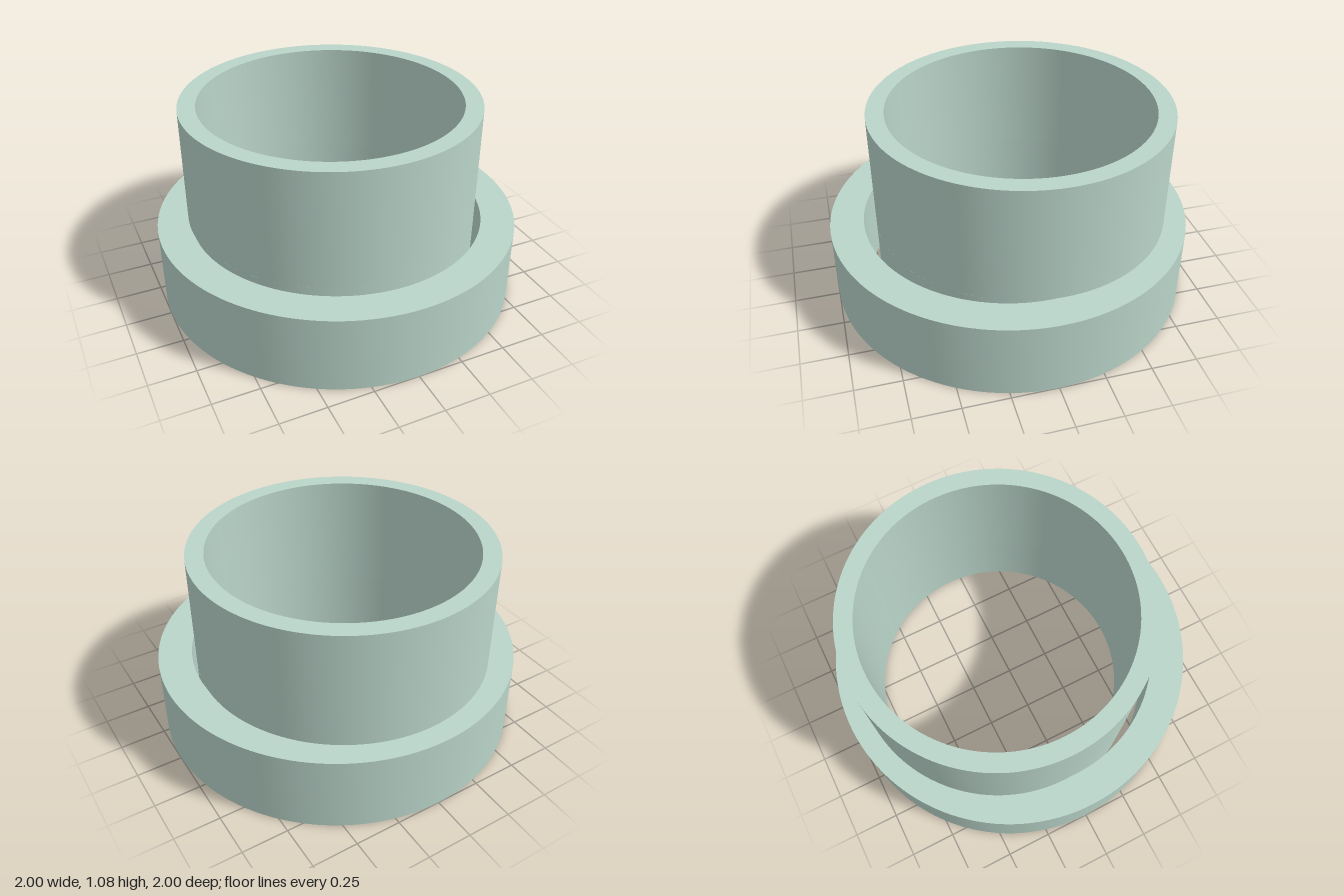
import * as THREE from 'three';
import { toCreasedNormals } from 'three/addons/utils/BufferGeometryUtils.js';

const R = 0.815;       // sleeve outer radius and collar opening radius
const BORE = 0.718;    // sleeve inner radius
const OFFSET = 0.07;   // sleeve is shifted this far to the back
const COLLAR_H = 0.43;
const TOTAL_H = 1.08;

export function createModel() {
  const group = new THREE.Group();
  const material = new THREE.MeshStandardMaterial({ color: 0xbad5ca });

  const add = (name, geometry) => {
    const mesh = new THREE.Mesh(toCreasedNormals(geometry, 0.5), material);
    mesh.name = name;
    group.add(mesh);
    return mesh;
  };

  // Collar: thick disc with the sleeve bore and a crescent gap cut through
  const disc = new THREE.Shape().absarc(0, 0, 1, 0, Math.PI * 2, false);
  const bore = new THREE.Path().absarc(0, OFFSET, BORE, 0, Math.PI * 2, true);
  const a = Math.asin(OFFSET / 2 / R);
  const crescent = new THREE.Path();
  crescent.absarc(0, 0, R, a, Math.PI - a, true);
  crescent.absarc(0, OFFSET, R, Math.PI + a, Math.PI * 2 - a, false);
  disc.holes.push(bore, crescent);
  const collar = new THREE.ExtrudeGeometry(disc, {
    depth: COLLAR_H, bevelEnabled: false, curveSegments: 64,
  });
  collar.rotateX(-Math.PI / 2);
  add('collar', collar);

  // Sleeve: upright tube wall rising from the collar, off centre
  const profile = [[R, COLLAR_H], [R, TOTAL_H], [BORE, TOTAL_H], [BORE, COLLAR_H]]
    .map(([x, y]) => new THREE.Vector2(x, y));
  const sleeve = add('sleeve', new THREE.LatheGeometry(profile, 128));
  sleeve.position.z = -OFFSET;

  return group;
}
